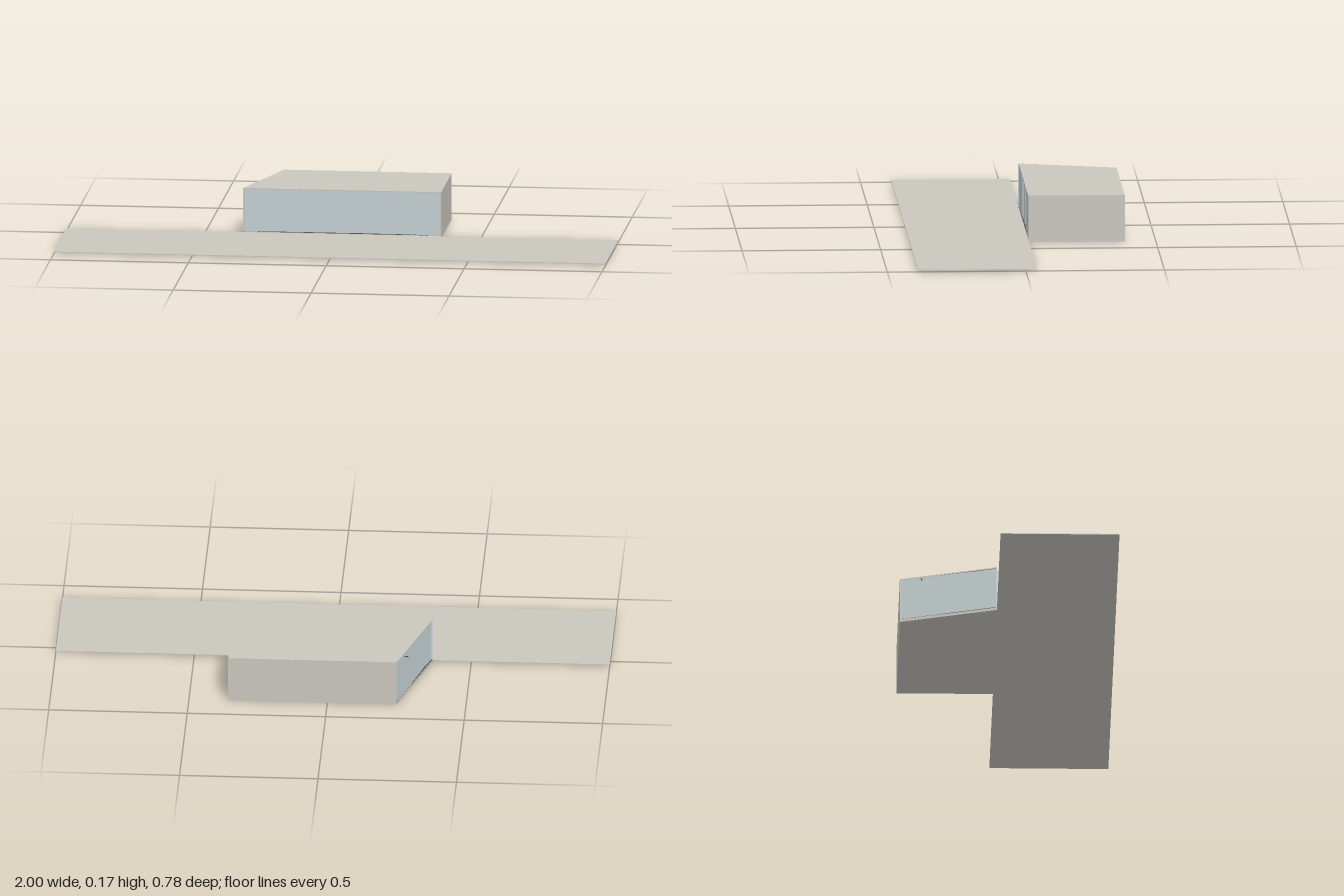
import * as THREE from 'three';

const stone = new THREE.MeshStandardMaterial({ color: 0xcac6be });
const glass = new THREE.MeshStandardMaterial({ color: 0xc4d0d2 });
const metal = new THREE.MeshStandardMaterial({ color: 0x55554f });

// Floor plan corners [x, z]: front left-hand end, front, back, back
const plan = [[-0.36, -0.04], [0.358, -0.04], [0.358, -0.388], [-0.25, -0.388]];

function box(name, size, pos, material) {
  const mesh = new THREE.Mesh(new THREE.BoxGeometry(...size), material);
  mesh.name = name;
  mesh.position.set(...pos);
  return mesh;
}

// Horizontal slab with the floor plan outline
function slab(name, y0, y1) {
  const shape = new THREE.Shape(plan.map(([x, z]) => new THREE.Vector2(x, -z)));
  const geo = new THREE.ExtrudeGeometry(shape, { depth: y1 - y0, bevelEnabled: false });
  geo.rotateX(-Math.PI / 2).translate(0, y0, 0);
  const mesh = new THREE.Mesh(geo, stone);
  mesh.name = name;
  return mesh;
}

// Row of sliding glass panels on staggered tracks; local +z faces outward
function glazing(name, from, to, units, tracks) {
  const dx = to[0] - from[0], dz = to[1] - from[1];
  const length = Math.hypot(dx, dz);
  const unit = length / units.reduce((a, b) => a + b, 0);
  const group = new THREE.Group();
  group.name = name;
  group.position.set(from[0], 0, from[1]);
  group.rotation.y = Math.atan2(-dz, dx);
  let x = 0;
  units.forEach((n, i) => {
    const w = n * unit;
    group.add(box('glassPanel', [w, 0.157, 0.003],
      [x + w / 2, 0.0885, -0.002 - 0.0015 * tracks[i]], glass));
    x += w;
  });
  // Track below the panels
  group.add(box('track', [length, 0.002, 0.008], [length / 2, 0.011, -0.0045], metal));
  return group;
}

export function createModel() {
  const model = new THREE.Group();
  model.name = 'pavilion';

  // Long thin terrace in front
  model.add(box('terrace', [2, 0.003, 0.429], [0, 0.0065, 0.1745], stone));

  // Floor, roof and the two solid walls
  model.add(slab('floor', 0, 0.01), slab('roof', 0.166, 0.17));
  model.add(box('sideWall', [0.004, 0.156, 0.348], [0.356, 0.088, -0.214], stone));
  model.add(box('backWall', [0.608, 0.156, 0.004], [0.054, 0.088, -0.386], stone));

  // Glazed front and glazed slanted side
  model.add(glazing('frontGlazing', plan[0], plan[1],
    [2, 2, 1, 1, 1, 1, 1, 2, 2], [0, 1, 2, 3, 2, 3, 2, 1, 0]));
  const side = glazing('sideGlazing', plan[3], plan[0], [3, 1, 1, 1, 1], [0, 1, 2, 3, 2]);
  side.add(box('handle', [0.003, 0.003, 0.016], [0.084, 0.155, 0.006], metal));
  model.add(side);

  return model;
}
